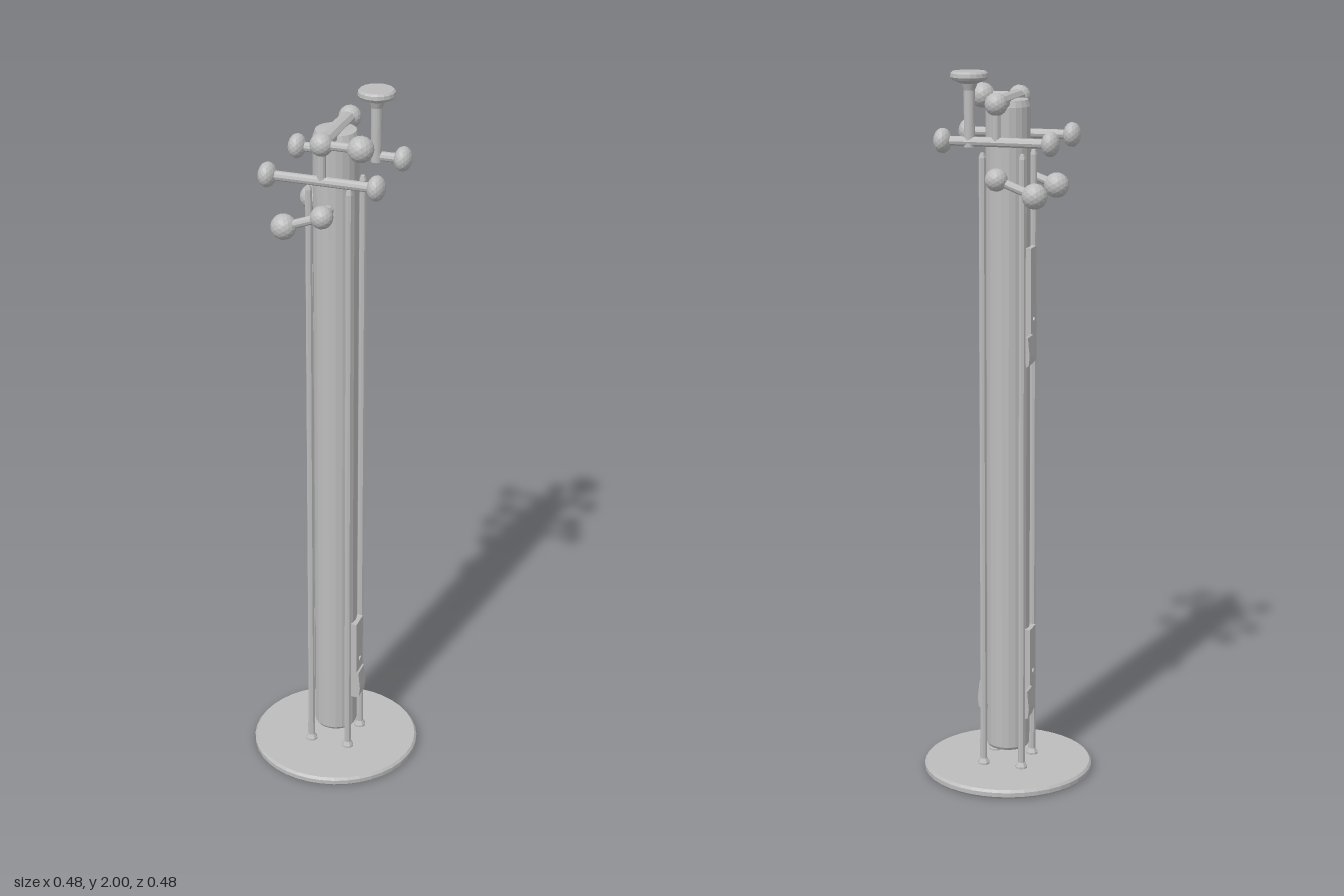
import * as THREE from 'three';

export function createModel() {
  const model = new THREE.Group();
  model.name = 'coatStand';
  const metal = new THREE.MeshStandardMaterial({ color: 0xbcbcbc, flatShading: true });
  metal.name = 'greyMetal';

  const add = (name, geometry, x = 0, y = 0, z = 0) => {
    const mesh = new THREE.Mesh(geometry, metal);
    mesh.name = name;
    mesh.position.set(x, y, z);
    model.add(mesh);
    return mesh;
  };
  const lathe = (points, sides) =>
    new THREE.LatheGeometry(points.map(([r, y]) => new THREE.Vector2(r, y)), sides);
  const ball = (name, r, x, y, z, flatten = 1) =>
    add(name, new THREE.IcosahedronGeometry(r, 2), x, y, z).scale.x = flatten;
  // Round bar between two points
  const bar = (name, from, to, r) => {
    const a = new THREE.Vector3(...from), b = new THREE.Vector3(...to);
    const dir = b.clone().sub(a);
    const mid = a.clone().add(b).multiplyScalar(0.5);
    const mesh = add(name, new THREE.CylinderGeometry(r, r, dir.length(), 10), mid.x, mid.y, mid.z);
    mesh.quaternion.setFromUnitVectors(new THREE.Vector3(0, 1, 0), dir.normalize());
  };

  // Floor disc
  add('base', lathe([[0, 0], [0.234, 0], [0.24, 0.006], [0.24, 0.018], [0.234, 0.025], [0, 0.025]], 40));

  // Main column, raised above the disc
  add('column', lathe([[0, 0.072], [0.056, 0.072], [0.061, 0.08], [0.061, 1.9], [0.055, 1.918], [0, 1.922]], 20));

  // Four slim rods carrying the column, with flared feet and rounded tops
  for (const sx of [-1, 1]) for (const sz of [-1, 1]) {
    add('supportRod', lathe([[0, 0.02], [0.017, 0.02], [0.017, 0.03], [0.01, 0.042], [0.01, 1.765], [0.006, 1.778], [0, 1.78]], 8),
      sx * 0.056, 0, sz * 0.056);
  }

  // Side plates, each with a wedge-shaped clip at its lower end
  const sidePlate = (side, bottom, height) => {
    add('sidePlate', new THREE.BoxGeometry(0.018, height, 0.056), side * 0.064, bottom + height / 2, 0);
    const wedge = new THREE.Shape([[0, 0], [0.008, 0.004], [0.011, 0.03], [0.006, 0.082], [0, 0.085]]
      .map(([x, y]) => new THREE.Vector2(x, y)));
    const clip = add('plateClip', new THREE.ExtrudeGeometry(wedge, { depth: 0.05, bevelEnabled: false }),
      side * 0.072, bottom, side * 0.025);
    if (side < 0) clip.rotation.y = Math.PI;
    else clip.position.z = -0.025;
    const screw = add('plateScrew', new THREE.CylinderGeometry(0.007, 0.007, 0.006, 8), side * 0.074, bottom + 0.12, 0);
    screw.rotation.z = Math.PI / 2;
  };
  sidePlate(1, 0.18, 0.25);
  sidePlate(-1, 0.18, 0.25);
  sidePlate(-1, 1.2, 0.32);

  // Top bar running front to back
  bar('topBar', [0, 1.915, -0.11], [0, 1.915, 0.11], 0.022);
  bar('lowerBar', [0, 1.715, -0.11], [0, 1.715, 0.11], 0.015);

  // Hooks on the front and back
  for (const s of [-1, 1]) {
    const z = s * 0.112;
    ball('topBall', 0.031, 0, 1.915, z);
    bar('crossbarHanger', [0, 1.915, z], [0, 1.815, z], 0.012);
    bar('crossbar', [-0.15, 1.815, z], [0.15, 1.815, z], 0.013);
    for (const x of [-0.149, 0.149]) ball('crossbarKnob', 0.034, x, 1.815, z, 0.72);
    ball('lowerBall', 0.031, 0, 1.715, z);
    bar('lowerPeg', [0, 1.715, z], [-0.106, 1.675, z], 0.012);
    ball('lowerKnob', 0.035, -0.106, 1.675, z);
  }

  // Upper front peg
  bar('upperPeg', [0, 1.915, 0.112], [0.106, 1.915, 0.112], 0.012);
  ball('upperKnob', 0.035, 0.106, 1.915, 0.112);

  // Hat rest standing on the rear crossbar
  add('hatRest', lathe([[0, 1.8], [0.015, 1.8], [0.015, 1.95], [0.022, 1.968], [0.046, 1.978],
    [0.051, 1.985], [0.05, 1.995], [0.045, 2], [0, 2]], 18), 0.075, 0, -0.109);

  return model;
}
